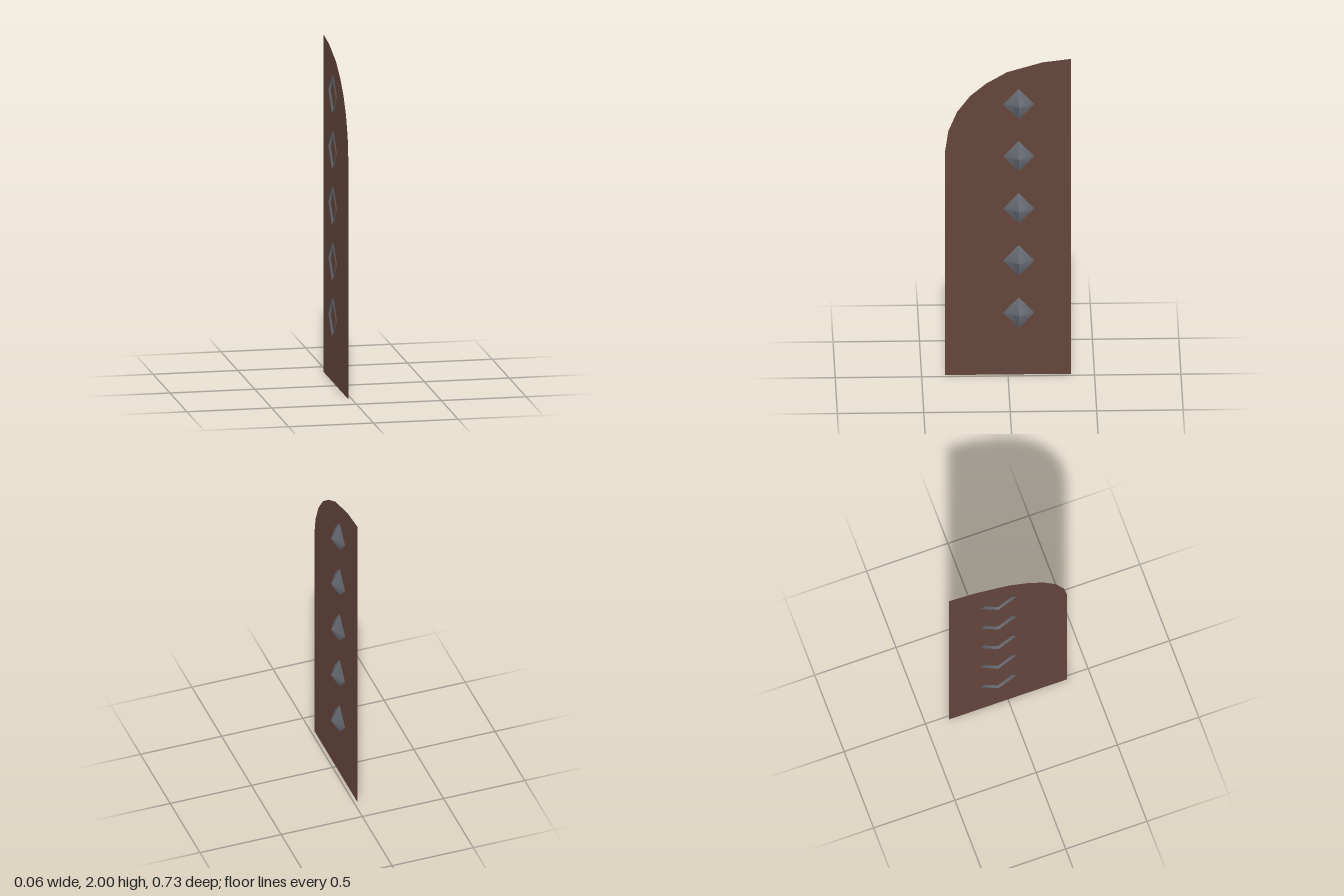
import * as THREE from 'three';

export function createModel() {
  const model = new THREE.Group();
  model.name = 'studdedBoard';

  const wood = new THREE.MeshStandardMaterial({ color: 0x64453b, side: THREE.DoubleSide });
  wood.name = 'brown wood';
  const metal = new THREE.MeshStandardMaterial({ color: 0x666a72, side: THREE.DoubleSide });
  metal.name = 'grey metal';

  // Flat board with a rounded upper front corner; outline as [z, y]
  const outline = [
    [-0.363, 0], [0.363, 0], [0.363, 1.43], [0.345, 1.55], [0.295, 1.67],
    [0.22, 1.77], [0.125, 1.85], [0.005, 1.92], [-0.2, 1.98], [-0.363, 2],
  ];
  const shape = new THREE.Shape(outline.map(([z, y]) => new THREE.Vector2(-z, y)));
  const board = new THREE.Mesh(new THREE.ShapeGeometry(shape).rotateY(Math.PI / 2), wood);
  board.name = 'board';
  board.position.x = -0.021;
  model.add(board);

  // Row of open four-sided studs poking through the board, points toward +x
  const studGeometry = new THREE.ConeGeometry(1, 0.064, 4, 1, true)
    .rotateZ(-Math.PI / 2)
    .scale(1, 0.117, 0.109);
  for (let i = 0; i < 5; i++) {
    const stud = new THREE.Mesh(studGeometry, metal);
    stud.name = `stud${i + 1}`;
    stud.position.set(0, 0.392 + i * 0.331, -0.062);
    model.add(stud);
  }

  return model;
}
